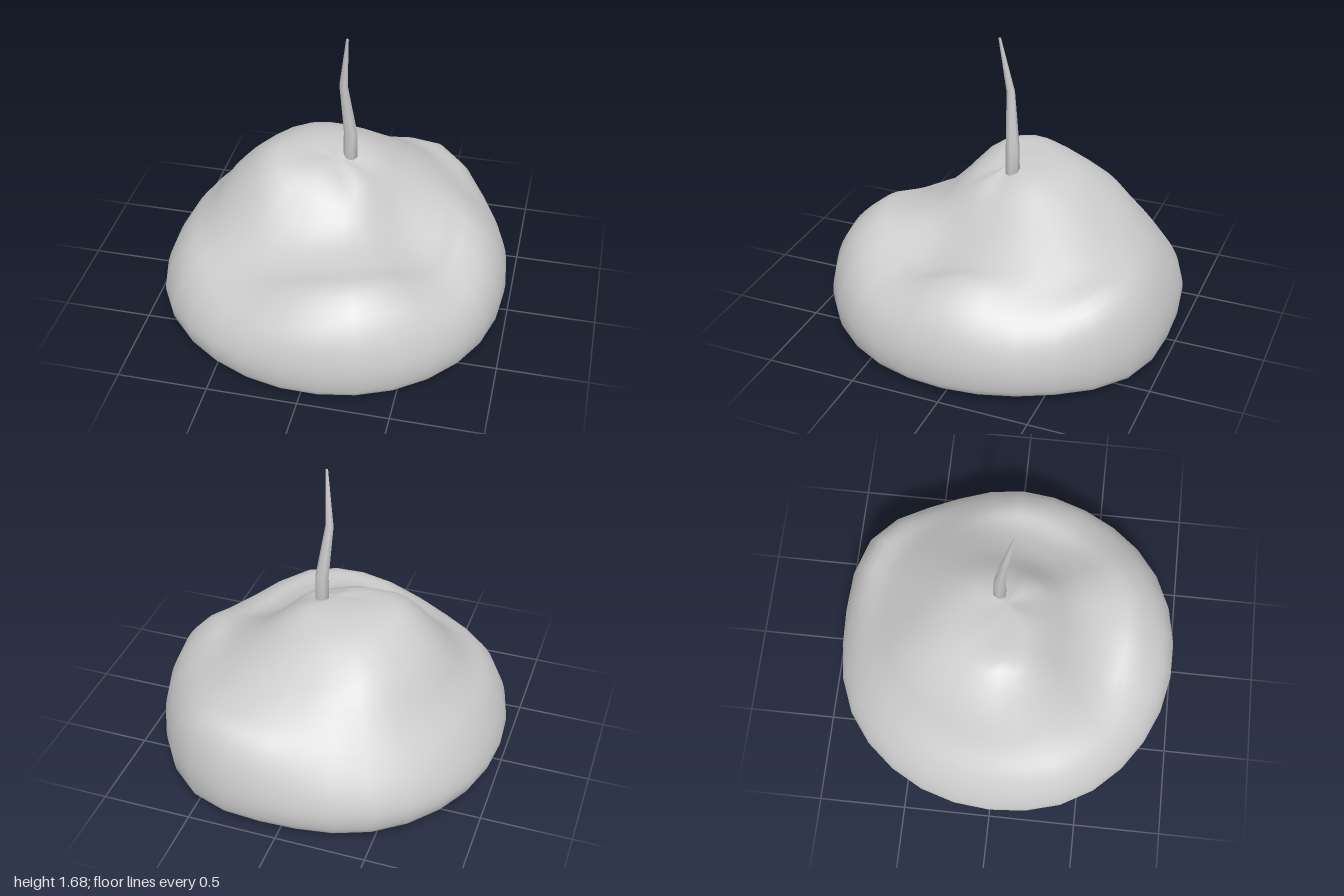
import * as THREE from 'three';
import { mergeVertices } from 'three/addons/utils/BufferGeometryUtils.js';

const material = new THREE.MeshStandardMaterial({ color: 0xcccccc });

// Closed lofted surface from rings of points (all the same length)
function loft(rings) {
  const n = rings[0].length, pos = [], index = [];
  rings.forEach(ring => ring.forEach(p => pos.push(p.x, p.y, p.z)));
  for (let i = 0; i < rings.length - 1; i++) {
    for (let j = 0; j < n; j++) {
      const a = i * n + j, b = i * n + (j + 1) % n;
      index.push(a, a + n, b, b, a + n, b + n);
    }
  }
  let g = new THREE.BufferGeometry();
  g.setAttribute('position', new THREE.Float32BufferAttribute(pos, 3));
  g.setIndex(index);
  g = mergeVertices(g, 1e-5);
  g.computeVertexNormals();
  return g;
}

// Smooth interpolation around a closed list of values
function around(list, t) {
  const n = list.length, i = Math.floor(t), f = t - i;
  const [a, b, c, d] = [-1, 0, 1, 2].map(k => list[(i + k + n) % n]);
  return b + 0.5 * f * (c - a + f * (2 * a - 5 * b + 4 * c - d + f * (3 * (b - c) + d - a)));
}

// Outline radius every 30 degrees, from +x towards +z
const outline = [0.98, 1.0, 1.01, 1.0, 1.0, 1.01, 0.99, 1.0, 1.01, 0.99, 1.045, 0.99];
// Surface heights in the same directions, at these fractions of the radius
const fractions = [0.2, 0.4, 0.6, 0.74, 0.87, 0.955, 0.995];
const heights = [
  [0.85, 0.69, 0.60, 0.60, 0.51, 0.38, 0.23],
  [0.85, 0.63, 0.51, 0.48, 0.42, 0.33, 0.20],
  [0.83, 0.67, 0.61, 0.60, 0.51, 0.37, 0.22],
  [0.85, 0.67, 0.59, 0.58, 0.48, 0.37, 0.22],
  [0.89, 0.72, 0.55, 0.47, 0.40, 0.30, 0.19],
  [0.92, 0.86, 0.64, 0.51, 0.42, 0.30, 0.17],
  [0.93, 0.92, 0.74, 0.55, 0.41, 0.27, 0.15],
  [0.94, 0.90, 0.74, 0.56, 0.42, 0.29, 0.17],
  [0.935, 0.89, 0.76, 0.60, 0.43, 0.30, 0.19],
  [0.93, 0.87, 0.72, 0.60, 0.48, 0.34, 0.20],
  [0.92, 0.82, 0.69, 0.60, 0.56, 0.44, 0.25],
  [0.89, 0.77, 0.65, 0.56, 0.46, 0.35, 0.21],
];
const underside = [[0.985, 0.09], [0.945, 0.04], [0.85, 0.02], [0.45, 0.005], [0, 0]];

function moundGeometry(sides = 30, steps = 36) {
  const profiles = [];
  for (let j = 0; j < sides; j++) {
    const t = j / sides * 12, angle = j / sides * Math.PI * 2, r = around(outline, t);
    const pts = [new THREE.Vector2(0, 0.915)];
    fractions.forEach((f, k) => pts.push(new THREE.Vector2(f * r, around(heights.map(h => h[k]), t))));
    underside.forEach(([f, y]) => pts.push(new THREE.Vector2(f * r, y)));
    profiles.push(new THREE.SplineCurve(pts).getPoints(steps)
      .map(p => new THREE.Vector3(Math.cos(angle) * p.x, Math.max(0, p.y), Math.sin(angle) * p.x)));
  }
  // Turn the radial profiles into rings running round the mound
  const rings = [];
  for (let i = 0; i <= steps; i++) rings.push(profiles.map(p => p[i]).reverse());
  return loft(rings);
}

// Bent, tapering six-sided stem: x, y, z, radius
function stemGeometry() {
  const stations = [[0.06, 0.9, -0.045, 0], [0.06, 0.9, -0.045, 0.04], [0.06, 1.06, -0.045, 0.038],
    [0.025, 1.37, -0.02, 0.023], [0.056, 1.68, 0.03, 0.007], [0.056, 1.68, 0.03, 0]];
  const rings = stations.reverse().map(([x, y, z, r]) => Array.from({ length: 6 }, (_, j) => {
    const a = -j / 6 * Math.PI * 2;
    return new THREE.Vector3(x + r * Math.cos(a), y, z + r * Math.sin(a));
  }));
  return loft(rings);
}

export function createModel() {
  const group = new THREE.Group();
  const add = (name, geometry) => {
    const mesh = new THREE.Mesh(geometry, material);
    mesh.name = name;
    group.add(mesh);
  };
  add('mound', moundGeometry());
  add('stem', stemGeometry());
  return group;
}
